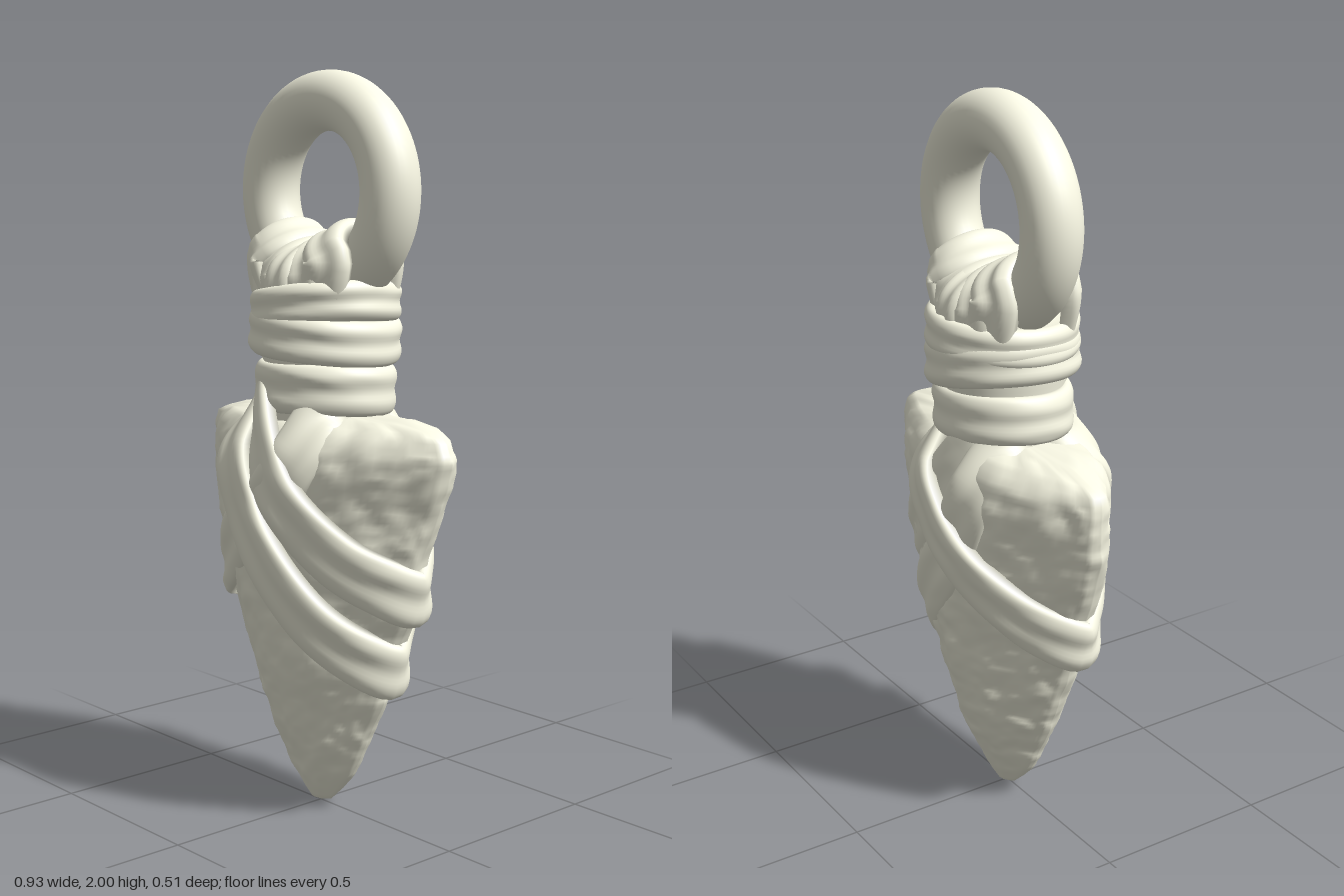
import * as THREE from 'three';

const V = (x, y, z) => new THREE.Vector3(x, y, z);
const material = new THREE.MeshStandardMaterial({ color: 0xfbfae6 });

// Stone outline: height, half width, half depth
const OUTLINE = [
  [0, 0, 0], [0.012, 0.04, 0.025], [0.05, 0.08, 0.045], [0.1, 0.12, 0.068], [0.2, 0.178, 0.112],
  [0.4, 0.275, 0.17], [0.6, 0.348, 0.2], [0.8, 0.418, 0.213], [0.95, 0.458, 0.21], [1.02, 0.47, 0.197],
  [1.06, 0.455, 0.172], [1.082, 0.41, 0.145], [1.095, 0.28, 0.1], [1.1, 0, 0],
];
// Half of the faceted cross-section: fraction of width, fraction of depth
const FACETS = [[0, 1], [0.4, 0.86], [0.75, 0.46], [0.93, 0.23], [0.985, 0.13], [1, 0]];

function lookup(table, t, column) {
  let i = 0;
  while (i < table.length - 2 && table[i + 1][0] < t) i++;
  const k = THREE.MathUtils.clamp((t - table[i][0]) / (table[i + 1][0] - table[i][0]), 0, 1);
  return THREE.MathUtils.lerp(table[i][column], table[i + 1][column], k);
}

// Smooth value noise in the range -1..1
function noise(x, y, z) {
  const hash = (a, b, c) => {
    const h = Math.sin(a * 127.1 + b * 311.7 + c * 74.7) * 43758.5453;
    return (h - Math.floor(h)) * 2 - 1;
  };
  const ix = Math.floor(x), iy = Math.floor(y), iz = Math.floor(z);
  const [fx, fy, fz] = [x - ix, y - iy, z - iz].map(f => f * f * (3 - 2 * f));
  let sum = 0;
  for (let c = 0; c < 8; c++) {
    const dx = c & 1, dy = (c >> 1) & 1, dz = c >> 2;
    sum += hash(ix + dx, iy + dy, iz + dz) * (dx ? fx : 1 - fx) * (dy ? fy : 1 - fy) * (dz ? fz : 1 - fz);
  }
  return sum;
}

// Skin a list of closed cross-section loops
function skin(loops, closed) {
  const n = loops[0].length, m = loops.length, index = [];
  for (let i = 0; i < (closed ? m : m - 1); i++) {
    for (let j = 0; j < n; j++) {
      const a = i * n + j, b = ((i + 1) % m) * n + j;
      const c = i * n + (j + 1) % n, d = ((i + 1) % m) * n + (j + 1) % n;
      index.push(a, b, c, c, b, d);
    }
  }
  const g = new THREE.BufferGeometry().setFromPoints(loops.flat());
  g.setIndex(index);
  g.computeVertexNormals();
  return g;
}

// Flat strap with two soft ridges, swept along a path; outward(p) gives its facing
function strap(points, closed, halfWidth, thick, outward, steps) {
  const curve = new THREE.CatmullRomCurve3(points, closed);
  const loops = [];
  for (let i = 0; i < (closed ? steps : steps + 1); i++) {
    const p = curve.getPointAt(i / steps), t = curve.getTangentAt(i / steps);
    const n = outward(p);
    n.addScaledVector(t, -n.dot(t)).normalize();
    const b = t.clone().cross(n);
    const at = (s, h) => p.clone().addScaledVector(b, s * halfWidth).addScaledVector(n, h);
    const loop = [at(1, -thick)];
    for (let k = 0; k <= 20; k++) {
      const s = Math.cos(k / 20 * Math.PI);
      const ridge = 0.78 + 0.22 * Math.sin(Math.PI * s) ** 2;
      const wrinkle = 1 + 0.12 * noise(p.x * 9 + s * 2, p.y * 9, p.z * 9);
      loop.push(at(s, thick * Math.sqrt(Math.max(0, 1 - s ** 8)) * ridge * wrinkle));
    }
    loop.push(at(-1, -thick));
    loops.push(loop);
  }
  return skin(loops, closed);
}

function stoneGeometry() {
  const loops = [], sides = 120;
  const heights = [0, 0.006, 0.012, 0.025];
  for (let y = 0.04; y < 1.05; y += 0.0125) heights.push(y);
  heights.push(1.06, 1.072, 1.082, 1.09, 1.095, 1.098, 1.1);
  for (const y of heights) {
    const w = lookup(OUTLINE, y, 1), d = lookup(OUTLINE, y, 2), loop = [];
    const shoulder = THREE.MathUtils.smoothstep(y, 0.7, 1);
    for (let j = 0; j < sides; j++) {
      const a = j / sides * Math.PI * 2, u = Math.cos(a);
      const x = w * u, z = d * lookup(FACETS, Math.abs(u), 1) * Math.sign(Math.sin(a));
      const chip = 0.013 * noise(x * 7 + 3, y * 7, z * 7) + 0.007 * noise(x * 18, y * 22, z * 18)
        + 0.004 * noise(x * 40, y * 45, z * 40);
      const out = V(x / 0.2, 0, z / 0.05);
      if (out.lengthSq() > 0) out.normalize();
      const fade = Math.min(1, y / 0.08) * Math.min(1, w / 0.1);
      // Shoulders lean slightly to the back
      loop.push(V(x, y, z - 0.002 - 0.018 * shoulder * Math.abs(u)).addScaledVector(out, chip * fade));
      loop[j].y += chip * fade * 0.6;
    }
    loops.push(loop);
  }
  return skin(loops, false);
}

// Depth of the stone or neck under a strap
function depthAt(x, y) {
  const stone = y > 1.09 ? 0 : lookup(OUTLINE, y, 2) * lookup(FACETS, Math.abs(x) / lookup(OUTLINE, y, 1), 1);
  const neck = y > 1 ? Math.sqrt(Math.max(0, 0.15 ** 2 - x * x)) : 0;
  return Math.max(stone, neck);
}

// Loop that runs down the front, round one edge of the stone and up the back
function diagonalStrap(path, edge, frontLift, backLift) {
  const lift = y => THREE.MathUtils.clamp((1.12 - y) / 0.12, 0, 1);
  const front = path.map(([x, y]) => V(x, y, depthAt(x, y) + frontLift * lift(y)));
  const back = path.map(([x, y]) => V(x, y, -depthAt(x, y) - backLift * lift(y))).reverse();
  const outward = p => V(p.x / 0.16, -0.2 * Math.hypot(p.x / 0.16, p.z / 0.05), p.z / 0.05);
  return strap([...front, V(edge[0], edge[1], 0), ...back], true, 0.077, 0.023, outward, 140);
}

export function createModel() {
  const model = new THREE.Group();
  const add = (name, geometry, parent = model) => {
    const mesh = new THREE.Mesh(geometry, material);
    mesh.name = name;
    parent.add(mesh);
    return mesh;
  };
  const group = name => {
    const g = new THREE.Group();
    g.name = name;
    model.add(g);
    return g;
  };

  add('stonePoint', stoneGeometry());

  // Hanging ring
  const R = 0.236, ringY = 1.685, ringZ = -0.025;
  add('ring', new THREE.TorusGeometry(R, 0.079, 32, 96)).position.set(0.003, ringY, ringZ);

  // Bound neck core
  const profile = [[0.15, 1], [0.155, 1.22], [0.175, 1.26], [0.175, 1.38], [0.168, 1.44], [0.14, 1.485], [0.09, 1.51], [0, 1.52]];
  add('neckCore', new THREE.LatheGeometry(profile.map(p => new THREE.Vector2(...p)), 48)).position.z = -0.013;

  // Straps round the neck: height, half width, tilt, radius in x, radius in z
  const neckWraps = group('neckWraps');
  const wraps = [
    [1.172, 0.066, -0.01, 0.177, 0.158], [1.312, 0.06, -0.045, 0.176, 0.183], [1.388, 0.053, 0.035, 0.176, 0.18],
  ];
  for (const [y, half, tilt, rx, rz] of wraps) {
    const pts = [];
    for (let i = 0; i < 16; i++) {
      const a = i / 16 * Math.PI * 2;
      pts.push(V(Math.cos(a) * rx + 0.004, y + tilt * Math.cos(a) * 0.5 + 0.005 * Math.sin(2 * a), -0.013 + Math.sin(a) * rz));
    }
    add('neckWrap', strap(pts, true, half, 0.026, p => V(p.x, 0, p.z + 0.013), 96), neckWraps);
  }

  // Straps looped over the bottom of the ring: angle along the ring, half width
  const ringLoops = group('ringLoops');
  for (const [a, half] of [[-0.72, 0.064], [-0.38, 0.06], [0.02, 0.048], [0.38, 0.058], [0.74, 0.062]]) {
    const centre = V(R * Math.sin(a), ringY - R * Math.cos(a), ringZ + 0.012);
    const inward = V(-Math.sin(a), Math.cos(a), 0);
    const spread = 0.162 - 0.06 * Math.abs(a);
    const foot = side => V(0.145 * Math.sin(a), 1.37, -0.013 + side * 0.155 * Math.cos(a));
    const pts = [foot(1)];
    for (let i = 0; i <= 8; i++) {
      const b = i / 8 * Math.PI;
      pts.push(V(centre.x * 0.88, centre.y, centre.z + Math.cos(b) * spread).addScaledVector(inward, 0.09 * Math.sin(b)));
    }
    pts.push(foot(-1));
    const outward = p => {
      const d = p.clone().sub(centre);
      const rise = Math.max(0, d.dot(inward));
      return V(p.x * 0.6, 0, d.z).addScaledVector(inward, rise * 1.5);
    };
    add('ringLoop', strap(pts, false, half, 0.024, outward, 48), ringLoops);
  }

  // Crossed straps holding the stone
  const bindings = group('stoneBindings');
  add('leftUpperBinding', diagonalStrap(
    [[-0.1, 1.13], [-0.05, 1.06], [0.07, 0.9], [0.23, 0.745], [0.33, 0.68]], [0.38, 0.645], 0.02, 0.004), bindings);
  add('leftLowerBinding', diagonalStrap(
    [[-0.135, 1.12], [-0.125, 1.0], [-0.06, 0.84], [0.04, 0.7], [0.16, 0.56], [0.25, 0.475]], [0.302, 0.435], 0.022, 0.004), bindings);
  add('rightBinding', diagonalStrap(
    [[0.13, 1.12], [0.105, 1.0], [0.03, 0.89], [-0.1, 0.78], [-0.25, 0.67], [-0.32, 0.63]], [-0.37, 0.6], 0.002, 0.022), bindings);

  return model;
}
